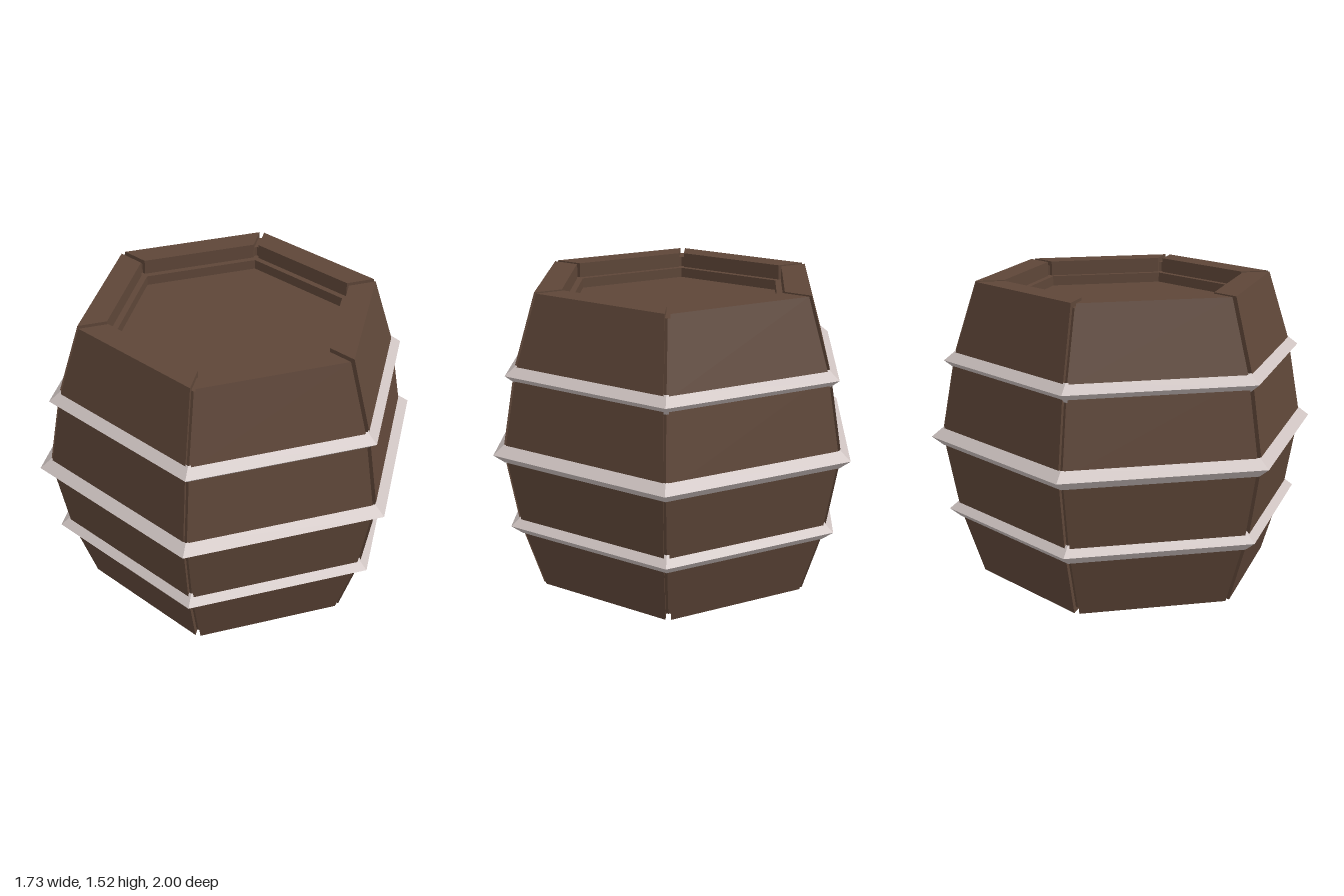
import * as THREE from 'three';

const TAN30 = Math.tan(Math.PI / 6), COS30 = Math.cos(Math.PI / 6);

// Faceted copy with one normal per face
function facet(geometry) {
  const flat = geometry.index ? geometry.toNonIndexed() : geometry;
  flat.computeVertexNormals();
  return flat;
}

// Six-sided ring from a profile of [distance to flat, height]
function hexRing(profile) {
  return facet(new THREE.LatheGeometry(
    profile.map(([r, y]) => new THREE.Vector2(r / COS30, y)), 6));
}

// One stave: closed profile swept along a side, with mitred ends that leave a groove
function staveGeometry(profile, inset) {
  const shape = new THREE.Shape(profile.map(([r, y]) => new THREE.Vector2(r, y)));
  const geometry = new THREE.ExtrudeGeometry(shape, { depth: 2, bevelEnabled: false });
  const p = geometry.attributes.position;
  for (let i = 0; i < p.count; i++) {
    p.setZ(i, (p.getZ(i) - 1) * (p.getX(i) * TAN30 - inset));
  }
  return facet(geometry);
}

export function createModel() {
  const wood = new THREE.MeshStandardMaterial({ color: 0x5e4638 });
  wood.name = 'brown wood';
  const metal = new THREE.MeshStandardMaterial({ color: 0xcdc2c0 });
  metal.name = 'pale metal';

  const barrel = new THREE.Group();
  barrel.name = 'barrel';
  const add = (name, geometry, material) => {
    const mesh = new THREE.Mesh(geometry, material);
    mesh.name = name;
    barrel.add(mesh);
    return mesh;
  };

  // Six bulging staves
  const stave = staveGeometry([
    [0.659, 0], [0.759, 0.35], [0.823, 0.75], [0.759, 1.16], [0.659, 1.52],
    [0.535, 1.52], [0.535, 1.44], [0.6, 1.38], [0.6, 0.14], [0.535, 0.08], [0.535, 0],
  ], 0.015);
  for (let i = 0; i < 6; i++) {
    add('stave' + (i + 1), stave, wood).rotation.y = i * Math.PI / 3;
  }

  // Core behind the grooves, with the stepped lid and base
  add('core', hexRing([
    [0, 0.125], [0.505, 0.125], [0.505, 0.075], [0.55, 0.075], [0.55, 0.025],
    [0.64, 0.025], [0.735, 0.35], [0.8, 0.75], [0.735, 1.16], [0.64, 1.495],
    [0.55, 1.495], [0.55, 1.445], [0.505, 1.445], [0.505, 1.395], [0, 1.395],
  ]), wood);

  // Three ridged hoops
  for (const [name, r, y] of [
    ['lowerHoop', 0.8, 0.348], ['middleHoop', 0.866, 0.738], ['upperHoop', 0.8, 1.13],
  ]) {
    const inner = r - 0.05;
    add(name, hexRing([
      [inner, y - 0.046], [r, y], [inner, y + 0.046], [inner, y - 0.046],
    ]), metal);
  }

  return barrel;
}
